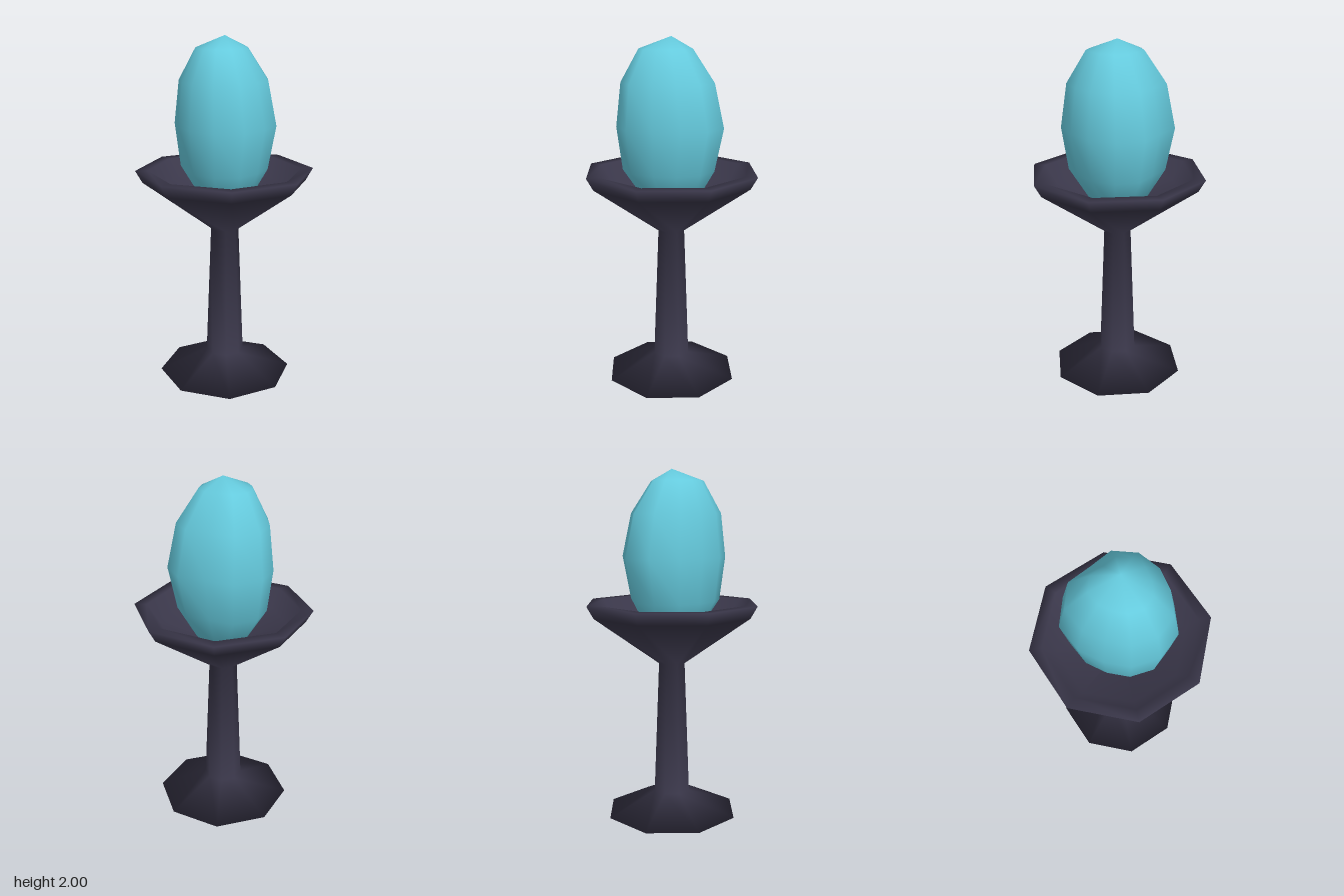
import * as THREE from 'three';
import { mergeVertices } from 'three/addons/utils/BufferGeometryUtils.js';

const darkStone = new THREE.MeshStandardMaterial({ color: 0x3a374a });
darkStone.name = 'darkStone';
const paleTeal = new THREE.MeshStandardMaterial({ color: 0x66ccdf });
paleTeal.name = 'paleTeal';

// Eight-sided pedestal: foot, stem and hollow bowl in one profile
function makePedestal() {
  const profile = [
    [0, 0], [0.39, 0], [0.11, 0.13], [0.08, 0.9], [0.47, 1.18],
    [0.51, 1.25], [0.44, 1.25], [0.37, 1.15], [0, 1.02],
  ].map(([r, y]) => new THREE.Vector2(r, y));
  const mesh = new THREE.Mesh(new THREE.LatheGeometry(profile, 8), darkStone);
  mesh.name = 'pedestal';
  return mesh;
}

// Rough-hewn egg: a coarse sphere with uneven radii, one per 30 degrees from +x towards +z
function makeEgg() {
  const radii = [0.31, 0.308, 0.292, 0.285, 0.315, 0.31, 0.287, 0.27, 0.29, 0.325, 0.32, 0.27];
  const ringShift = [0, -0.028, -0.015, 0, -0.01, 0, 0]; // sideways lean of each ring
  const sphere = new THREE.SphereGeometry(1, 12, 6);
  sphere.deleteAttribute('uv');
  sphere.deleteAttribute('normal');
  const geometry = mergeVertices(sphere, 1e-3);
  const pos = geometry.attributes.position;
  for (let i = 0; i < pos.count; i++) {
    const x = pos.getX(i), y = pos.getY(i), z = pos.getZ(i);
    const side = (Math.round(Math.atan2(z, x) / (Math.PI / 6)) + 12) % 12;
    const ring = Math.round(Math.acos(THREE.MathUtils.clamp(y, -1, 1)) / (Math.PI / 6));
    const r = radii[side];
    pos.setXYZ(i, x * r + ringShift[ring], 1.51 + y * 0.49, z * r);
  }
  geometry.computeVertexNormals();
  const mesh = new THREE.Mesh(geometry, paleTeal);
  mesh.name = 'egg';
  return mesh;
}

export function createModel() {
  const model = new THREE.Group();
  model.name = 'eggOnPedestal';
  model.add(makePedestal(), makeEgg());
  return model;
}
